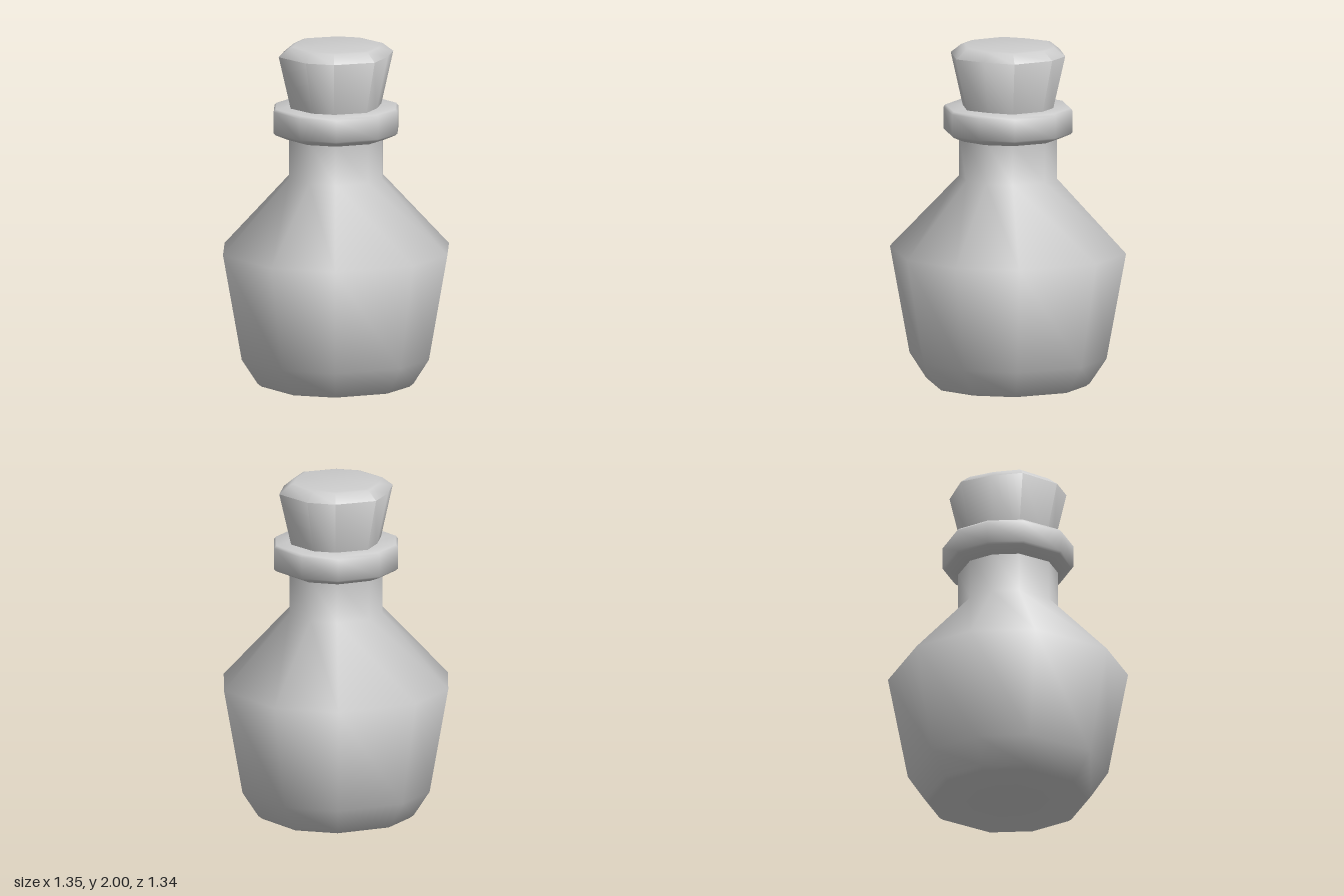
import * as THREE from 'three';
import { toCreasedNormals } from 'three/addons/utils/BufferGeometryUtils.js';

// Slightly uneven ten-sided outline: mirror one quarter of corners around both axes.
function outline([ax, az], [bx, bz]) {
  return [
    [1, 0], [ax, -az], [bx, -bz], [-bx, -bz], [-ax, -az],
    [-1, 0], [-ax, az], [-bx, bz], [bx, bz], [ax, az], [1, 0],
  ];
}

// Ten-sided turned solid whose rings follow the given outline.
function turned(name, profile, ring, material, crease = 65) {
  const points = profile.map(([r, y]) => new THREE.Vector2(r, y));
  const geometry = new THREE.LatheGeometry(points, 10, Math.PI / 2);
  const pos = geometry.attributes.position;
  for (let i = 0; i < pos.count; i++) {
    const [x, z] = ring[Math.floor(i / points.length)];
    const [r, y] = profile[i % points.length];
    pos.setXYZ(i, r * x, y, r * z);
  }
  const mesh = new THREE.Mesh(
    toCreasedNormals(geometry, THREE.MathUtils.degToRad(crease)), material);
  mesh.name = name;
  return mesh;
}

export function createModel() {
  const group = new THREE.Group();
  group.name = 'corkedBottle';
  const grey = new THREE.MeshStandardMaterial({ color: 0xcccccc });
  grey.name = 'lightGrey';

  const bodyRing = outline([0.855, 0.54], [0.285, 0.995]);
  const lipRing = outline([0.85, 0.55], [0.295, 0.98]);
  const corkRing = outline([0.93, 0.605], [0.27, 1.055]);

  // Round body, sloping shoulder and straight neck
  group.add(turned('bottleBody', [
    [0, 0], [0.445, 0], [0.468, 0.018], [0.563, 0.165],
    [0.675, 0.79], [0.28, 1.22], [0.28, 1.47],
  ], bodyRing, grey));

  // Thick collar around the mouth
  group.add(turned('bottleLip', [
    [0.22, 1.455], [0.295, 1.455], [0.36, 1.483], [0.373, 1.495],
    [0.373, 1.622], [0.36, 1.637], [0.22, 1.637],
  ], lipRing, grey));

  // Tapered stopper with a bevelled top
  group.add(turned('corkStopper', [
    [0, 1.6], [0.24, 1.6], [0.313, 1.945], [0.255, 1.995], [0.235, 2], [0, 2],
  ], corkRing, grey));

  return group;
}
